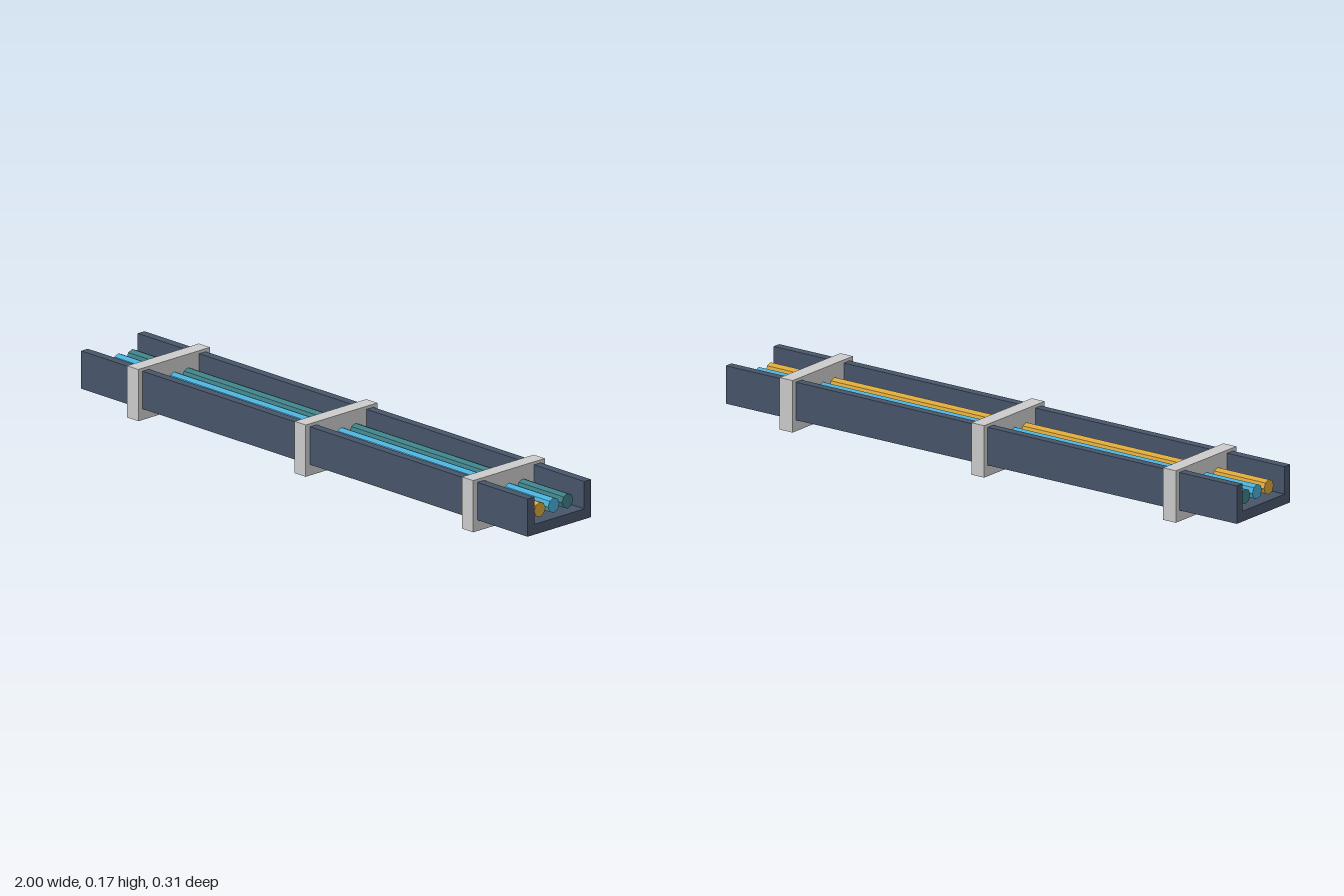
import * as THREE from 'three';

const material = (color) => new THREE.MeshStandardMaterial({ color, flatShading: true });

export function createModel() {
  const model = new THREE.Group();
  model.name = 'cableTray';

  const add = (name, geometry, mat, x, y, z) => {
    const mesh = new THREE.Mesh(geometry, mat);
    mesh.name = name;
    mesh.position.set(x, y, z);
    model.add(mesh);
  };

  // U-shaped channel swept along x
  const profile = new THREE.Shape([
    [-0.137, 0.036], [0.137, 0.036], [0.137, 0.16], [0.108, 0.16],
    [0.108, 0.07], [-0.108, 0.07], [-0.108, 0.16], [-0.137, 0.16],
  ].map(([z, y]) => new THREE.Vector2(z, y)));
  const channel = new THREE.ExtrudeGeometry(profile, { depth: 2, bevelEnabled: false });
  channel.translate(0, 0, -1).rotateY(Math.PI / 2);
  add('channel', channel, material(0x475569), 0, 0, 0);

  // Three eight-sided cables lying along the channel
  const cable = new THREE.CylinderGeometry(0.0245, 0.0245, 1.95, 8).rotateZ(Math.PI / 2);
  [['frontCable', 0xd9a63a, 0.06], ['middleCable', 0x4aaed6, 0], ['backCable', 0x3d7f86, -0.06]]
    .forEach(([name, color, z]) => add(name, cable, material(color), 0, 0.101, z));

  // Solid support brackets crossing the channel
  const bracket = new THREE.BoxGeometry(0.05, 0.17, 0.31);
  const grey = material(0xcccccc);
  [-0.75, 0, 0.75].forEach((x) => add('bracket', bracket, grey, x, 0.085, 0));

  return model;
}
